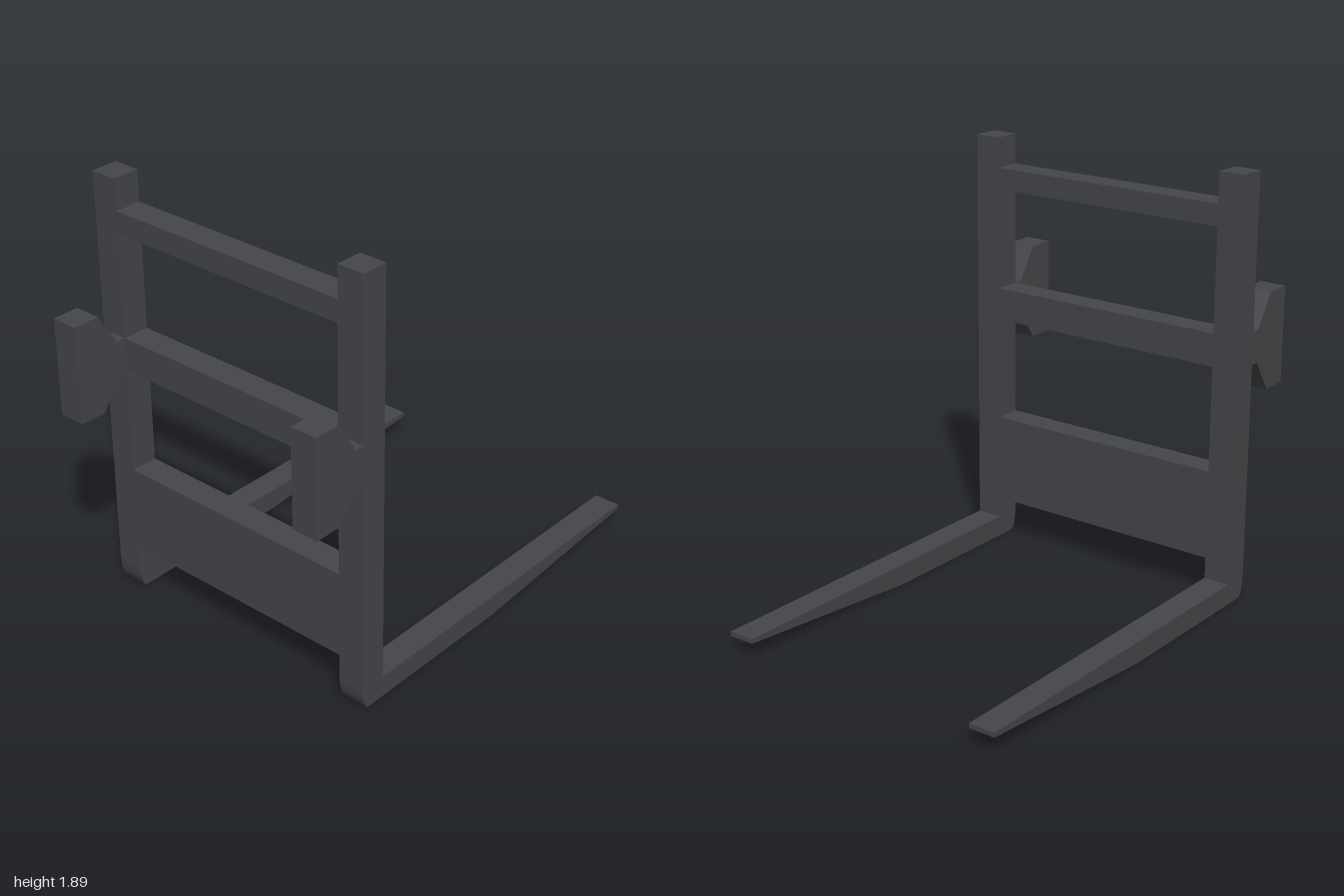
import * as THREE from 'three';

const material = new THREE.MeshStandardMaterial({ color: 0x45464a });
const INNER = 0.565, OUTER = 0.685;   // x extent of each fork
const BACK = 0.63, FRONT = 0.75;      // z extent of the frame

// Extrude a (z, y) side profile between two x positions
function sideExtrude(name, shape, x0, x1) {
  const geometry = new THREE.ExtrudeGeometry(shape, { depth: x1 - x0, bevelEnabled: false, curveSegments: 8 });
  geometry.rotateY(-Math.PI / 2);
  geometry.translate(x1, 0, 0);
  const mesh = new THREE.Mesh(geometry, material);
  mesh.name = name;
  return mesh;
}

const polygon = (points) => new THREE.Shape(points.map(([z, y]) => new THREE.Vector2(z, y)));

// L-shaped fork: upright post, rounded heel and tapered tine
function forkShape() {
  const s = new THREE.Shape();
  s.moveTo(FRONT, 1.89);
  s.lineTo(BACK, 1.89);
  s.lineTo(BACK, 0.095);
  s.lineTo(-1, 0.095);
  s.lineTo(-1, 0.075);
  s.lineTo(-0.07, 0);
  s.lineTo(0.715, 0);
  s.bezierCurveTo(0.737, 0, FRONT, 0.05, FRONT, 0.11);
  s.closePath();
  return s;
}

// Flared mounting bracket on the front of each post
const bracketShape = polygon([
  [FRONT, 1.06], [0.79, 1.06], [0.88, 0.92], [1, 0.92],
  [1, 1.35], [0.88, 1.35], [0.79, 1.205], [FRONT, 1.205],
]);

// Crossbar profile; the front lower edge may be raised for a sloped underside
const barShape = (y0, y1, frontY0 = y0) =>
  polygon([[BACK, y0], [FRONT, frontY0], [FRONT, y1], [BACK, y1]]);

export function createModel() {
  const model = new THREE.Group();
  model.name = 'palletForkFrame';

  // Mirrored forks and brackets
  for (const [side, x0, x1] of [['left', INNER, OUTER], ['right', -OUTER, -INNER]]) {
    model.add(sideExtrude(side + 'Fork', forkShape(), x0, x1));
    model.add(sideExtrude(side + 'Bracket', bracketShape, x0, x1));
  }

  // Crossbars between the posts
  model.add(sideExtrude('topBar', barShape(1.66, 1.755), -INNER, INNER));
  model.add(sideExtrude('middleBar', barShape(1.06, 1.205), -INNER, INNER));
  model.add(sideExtrude('lowerPanel', barShape(0.19, 0.59, 0.21), -INNER, INNER));

  return model;
}
